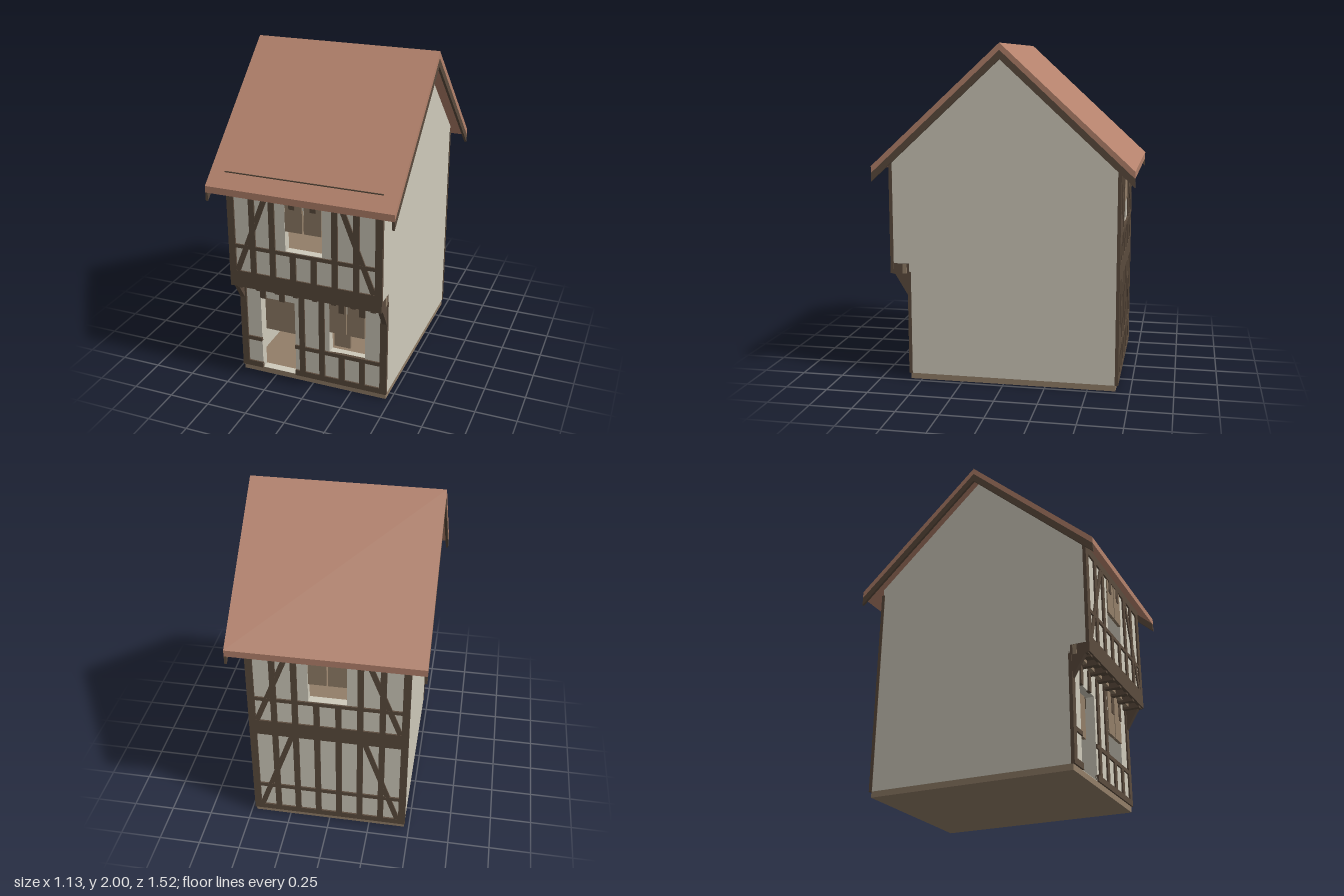
import * as THREE from 'three';

const mat = (name, color) => Object.assign(new THREE.MeshStandardMaterial({ color }), { name });

export function createModel() {
  const house = new THREE.Group();
  house.name = 'timberFramedHouse';
  const plaster = mat('plaster', 0xcfcabb);
  const timber = mat('dark timber', 0x5b4b3d);
  const wood = mat('light wood', 0x927e68);
  const tile = mat('roof tile', 0xb4826c);

  const add = (parent, name, geometry, material) => {
    const mesh = new THREE.Mesh(geometry, material);
    mesh.name = name;
    parent.add(mesh);
    return mesh;
  };
  // Box given by its limits
  const box = (parent, name, material, x0, x1, y0, y1, z0, z1) =>
    add(parent, name, new THREE.BoxGeometry(x1 - x0, y1 - y0, z1 - z0), material)
      .position.set((x0 + x1) / 2, (y0 + y1) / 2, (z0 + z1) / 2);
  // Outline of [z, y] points extruded across x
  const across = (parent, name, material, points, x0, x1) => {
    const shape = new THREE.Shape(points.map(([z, y]) => new THREE.Vector2(-z, y)));
    const g = new THREE.ExtrudeGeometry(shape, { depth: x1 - x0, bevelEnabled: false });
    g.rotateY(Math.PI / 2).translate(x0, 0, 0);
    return add(parent, name, g, material);
  };

  // Base and upper floor
  box(house, 'base', wood, -0.47, 0.47, 0, 0.036, -0.665, 0.57);
  box(house, 'upperFloor', wood, -0.43, 0.43, 0.69, 0.712, -0.66, 0.67);

  // Gable walls with the jetty step at the front
  const gable = [[0.57, 0.035], [0.57, 0.71], [0.675, 0.71], [0.675, 1.335], [0, 1.958], [-0.67, 1.34], [-0.67, 0.035]];
  across(house, 'leftGableWall', plaster, gable, 0.425, 0.472);
  across(house, 'rightGableWall', plaster, gable, -0.472, -0.425);

  // Roof covering and bargeboards, both cut plumb at the eaves
  const chevron = (top, bottom) => [
    [0.76, top - 0.7], [0, top], [-0.76, top - 0.7],
    [-0.76, bottom - 0.7], [0, bottom], [0.76, bottom - 0.7],
  ];
  across(house, 'roof', tile, chevron(2, 1.96), -0.565, 0.565);
  for (const x of [-0.565, 0.55]) across(house, 'bargeboard', timber, chevron(1.96, 1.91), x, x + 0.015);

  // Facade: local z = 0 is the plaster face, looking along +z
  const facade = (name, z, back) => {
    const f = new THREE.Group();
    f.name = name;
    f.position.z = z;
    if (back) f.rotation.y = Math.PI;
    house.add(f);
    return f;
  };
  const panel = (f, y0, y1, openings) => {
    const rect = (Type, a, b, c, d) => new Type([[a, c], [b, c], [b, d], [a, d]].map(p => new THREE.Vector2(...p)));
    const shape = rect(THREE.Shape, -0.426, 0.426, y0, y1);
    for (const o of openings) shape.holes.push(rect(THREE.Path, ...o));
    const g = new THREE.ExtrudeGeometry(shape, { depth: 0.05, bevelEnabled: false });
    add(f, 'plasterPanel', g.translate(0, 0, -0.05), plaster);
  };
  const bar = (f, name, x0, x1, y0, y1) => box(f, name, timber, x0, x1, y0, y1, -0.01, 0.01);
  const stud = (f, x, y0, y1) => bar(f, 'stud', x - 0.018, x + 0.018, y0, y1);
  const posts = (f, y0, y1) => {
    bar(f, 'cornerPost', -0.475, -0.432, y0, y1);
    bar(f, 'cornerPost', 0.432, 0.475, y0, y1);
  };
  // Mirrored diagonal braces leaning inwards
  const braces = (f, y0, y1) => {
    for (const s of [-1, 1]) {
      const dx = 0.205, dy = y1 - y0;
      const b = add(f, 'brace', new THREE.BoxGeometry(0.032, Math.hypot(dx, dy), 0.018), timber);
      b.position.set(s * (0.425 - dx / 2), (y0 + y1) / 2, 0);
      b.rotation.z = s * Math.atan2(dx, dy);
    }
  };
  const shutters = (f, xc, y0, y1) => {
    for (const s of [-1, 1]) {
      const c = xc + s * 0.058;
      box(f, 'shutter', wood, c - 0.053, c + 0.053, y0, y1, -0.012, 0.006);
    }
  };
  const outer = [-0.32, -0.195, 0.19, 0.32];
  const middle = [-0.067, 0.062];

  // Upper storey, the same at front and back
  const upperStorey = (f) => {
    panel(f, 0.71, 1.33, [[-0.115, 0.112, 0.93, 1.2]]);
    posts(f, 0.7, 1.3);
    outer.forEach(x => stud(f, x, 0.75, 1.3));
    middle.forEach(x => { stud(f, x, 0.75, 0.91); stud(f, x, 1.2, 1.3); });
    bar(f, 'beam', -0.475, 0.475, 0.65, 0.755);
    bar(f, 'rail', -0.44, 0.44, 0.905, 0.928);
    braces(f, 0.755, 1.28);
    shutters(f, 0, 1.06, 1.33);
  };
  const upperFront = facade('upperFront', 0.675);
  upperStorey(upperFront);
  bar(upperFront, 'topPlate', -0.475, 0.475, 1.28, 1.375);

  // Ground floor front with door and window
  const lowerFront = facade('lowerFront', 0.57);
  panel(lowerFront, 0.035, 0.7, [[-0.34, -0.115, 0.037, 0.535], [0.11, 0.337, 0.25, 0.53]]);
  posts(lowerFront, 0.035, 0.66);
  for (const [x0, x1] of [[-0.475, -0.34], [-0.115, 0.475]]) {
    bar(lowerFront, 'sill', x0, x1, 0.035, 0.072);
    bar(lowerFront, 'rail', x0, x1, 0.225, 0.25);
  }
  middle.forEach(x => stud(lowerFront, x, 0.07, 0.66));
  outer.forEach(x => stud(lowerFront, x, 0.533, 0.66));
  [0.19, 0.32].forEach(x => stud(lowerFront, x, 0.07, 0.23));
  shutters(lowerFront, 0.223, 0.39, 0.67);
  box(lowerFront, 'doorLeaf', wood, -0.337, -0.118, 0.285, 0.69, -0.075, -0.055);
  box(lowerFront, 'innerShutter', wood, 0.11, 0.215, 0.25, 0.53, -0.09, -0.075);

  // Back, flush over both storeys
  const backWall = facade('back', -0.67, true);
  upperStorey(backWall);
  panel(backWall, 0.035, 0.71, []);
  posts(backWall, 0.035, 0.7);
  bar(backWall, 'sill', -0.475, 0.475, 0.035, 0.072);
  bar(backWall, 'rail', -0.44, 0.44, 0.225, 0.25);
  [...outer, ...middle].forEach(x => stud(backWall, x, 0.07, 0.66));
  braces(backWall, 0.07, 0.65);

  // Jetty: joists, end beams, cross beam and brackets
  for (let i = 0; i < 8; i++) {
    const x = -0.42 + i * 0.12;
    box(house, 'joist', timber, x - 0.015, x + 0.015, 0.637, 0.69, 0.5, 0.676);
  }
  box(house, 'jettyBoards', timber, -0.47, 0.47, 0.67, 0.711, 0.56, 0.675);
  box(house, 'crossBeam', wood, -0.474, 0.474, 0.65, 0.708, 0.585, 0.61);
  for (const x of [-0.472, 0.442]) {
    box(house, 'endBeam', timber, x, x + 0.03, 0.645, 0.71, 0.56, 0.675);
    across(house, 'bracket', timber, [[0.575, 0.51], [0.575, 0.65], [0.66, 0.65]], x, x + 0.03);
  }
  return house;
}
